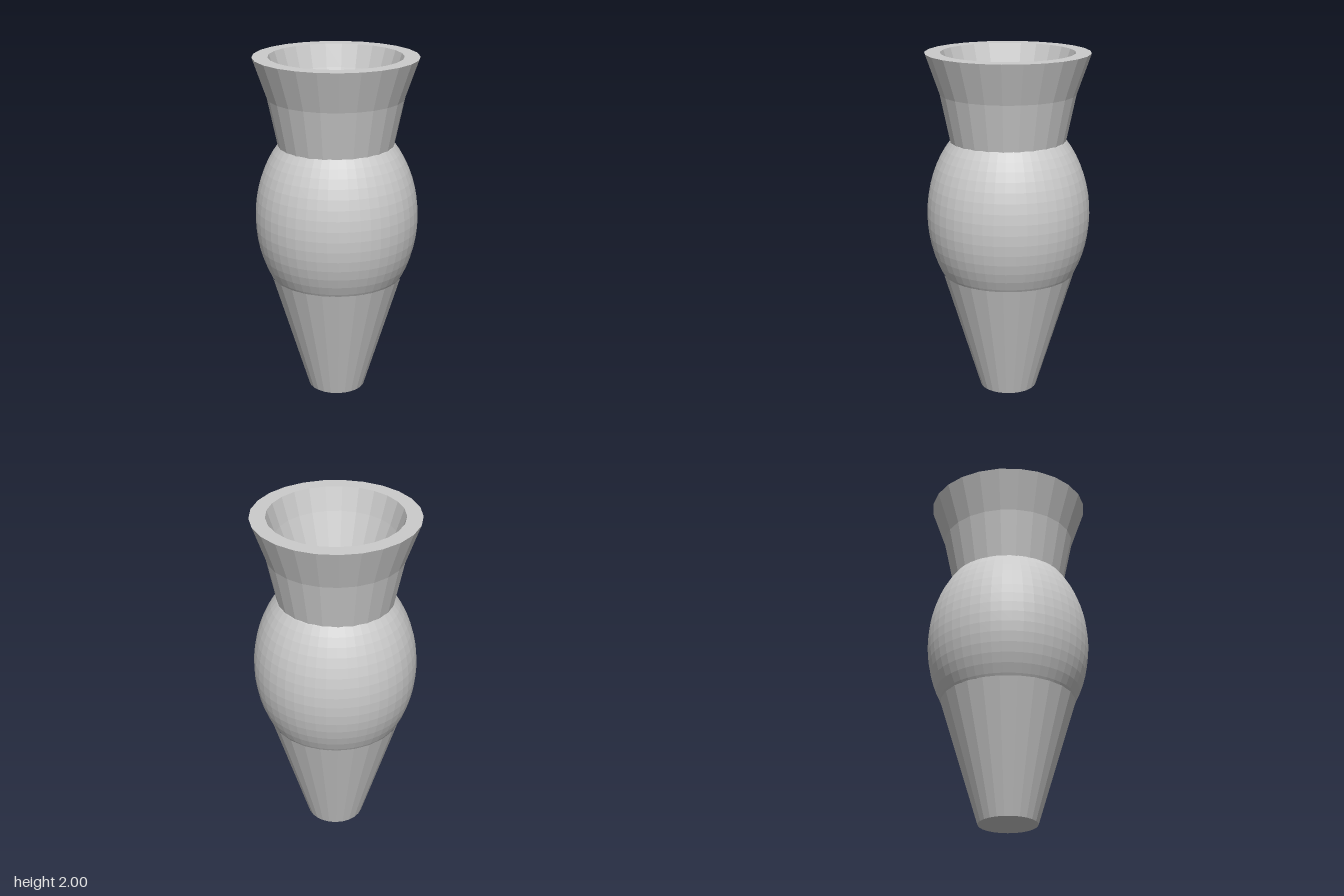
import * as THREE from 'three';

const SIDES = 25;
const material = new THREE.MeshStandardMaterial({ color: 0xcccccc, flatShading: true });

// Revolves a profile of [radius, height] pairs, listed upwards on the outside.
function turned(name, profile) {
  const points = profile.map(([r, y]) => new THREE.Vector2(r, y));
  const mesh = new THREE.Mesh(new THREE.LatheGeometry(points, SIDES, Math.PI), material);
  mesh.name = name;
  return mesh;
}

export function createModel() {
  const vase = new THREE.Group();
  vase.name = 'vase';

  // Tapered foot with a closed base, running up into the belly
  const foot = turned('foot', [[0, 0], [0.167, 0], [0.385, 0.72]]);

  // Rounded belly, whose crown forms the floor of the neck
  const belly = new THREE.Mesh(new THREE.SphereGeometry(0.469, 48, 32), material);
  belly.name = 'belly';
  belly.scale.y = 0.607 / 0.469;
  belly.position.y = 1.07;

  // Flared hollow neck: outer wall, flat rim, then inner wall down to the belly
  const neck = turned('neck', [
    [0.325, 1.47], [0.387, 1.77], [0.467, 2],
    [0.379, 2], [0.336, 1.87], [0.222, 1.58],
  ]);
  neck.position.x = -0.004;

  vase.add(foot, belly, neck);
  return vase;
}
